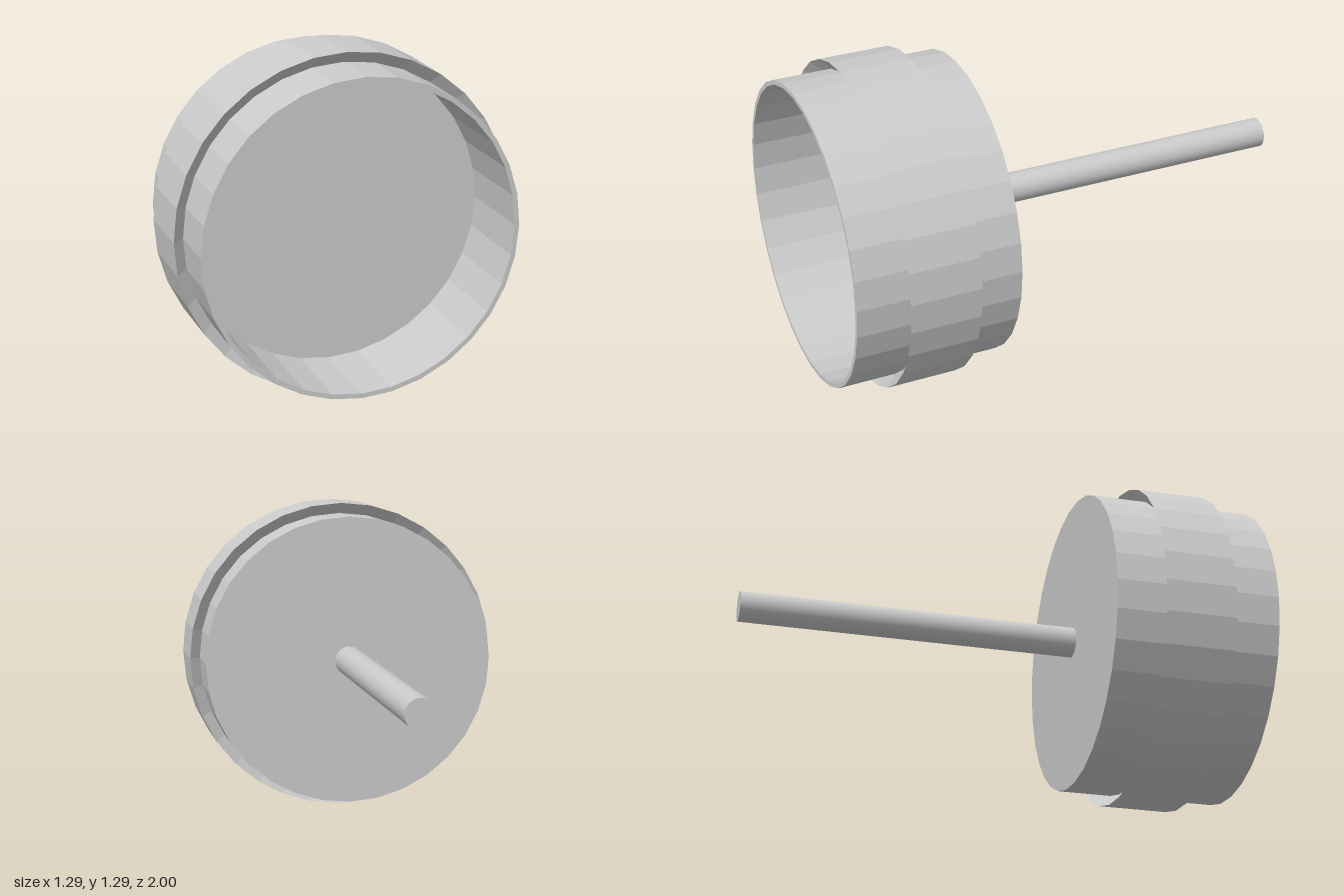
import * as THREE from 'three';

const SIDES = 32;
const AXIS_Y = 0.645;

export function createModel() {
  const model = new THREE.Group();
  const faceted = new THREE.MeshStandardMaterial({ color: 0xcccccc, flatShading: true, side: THREE.DoubleSide });
  const smooth = new THREE.MeshStandardMaterial({ color: 0xcccccc });

  // Turns a geometry so its axis runs along z, and sets it at axle height
  const add = (name, geometry, material, z = 0) => {
    geometry.rotateX(Math.PI / 2);
    const mesh = new THREE.Mesh(geometry, material);
    mesh.name = name;
    mesh.position.set(0, AXIS_Y, z);
    model.add(mesh);
  };

  // Profile points are [radius, z]
  const turned = (points) =>
    new THREE.LatheGeometry(points.map(([r, z]) => new THREE.Vector2(r, z)), SIDES);

  // Hollow cup: closed back, thin wall, recessed floor
  add('drum', turned([[0, 0.35], [0.6, 0.35], [0.6, 1], [0.582, 1], [0.582, 0.64], [0, 0.64]]), faceted);

  // Raised band whose end faces slope inward to the drum
  add('band', turned([[0.6, 0.57], [0.645, 0.53], [0.645, 0.81], [0.6, 0.77]]), faceted);

  // Thin rod out of the back
  add('rod', new THREE.CylinderGeometry(0.06, 0.06, 1.35, SIDES), smooth, -0.325);

  return model;
}
